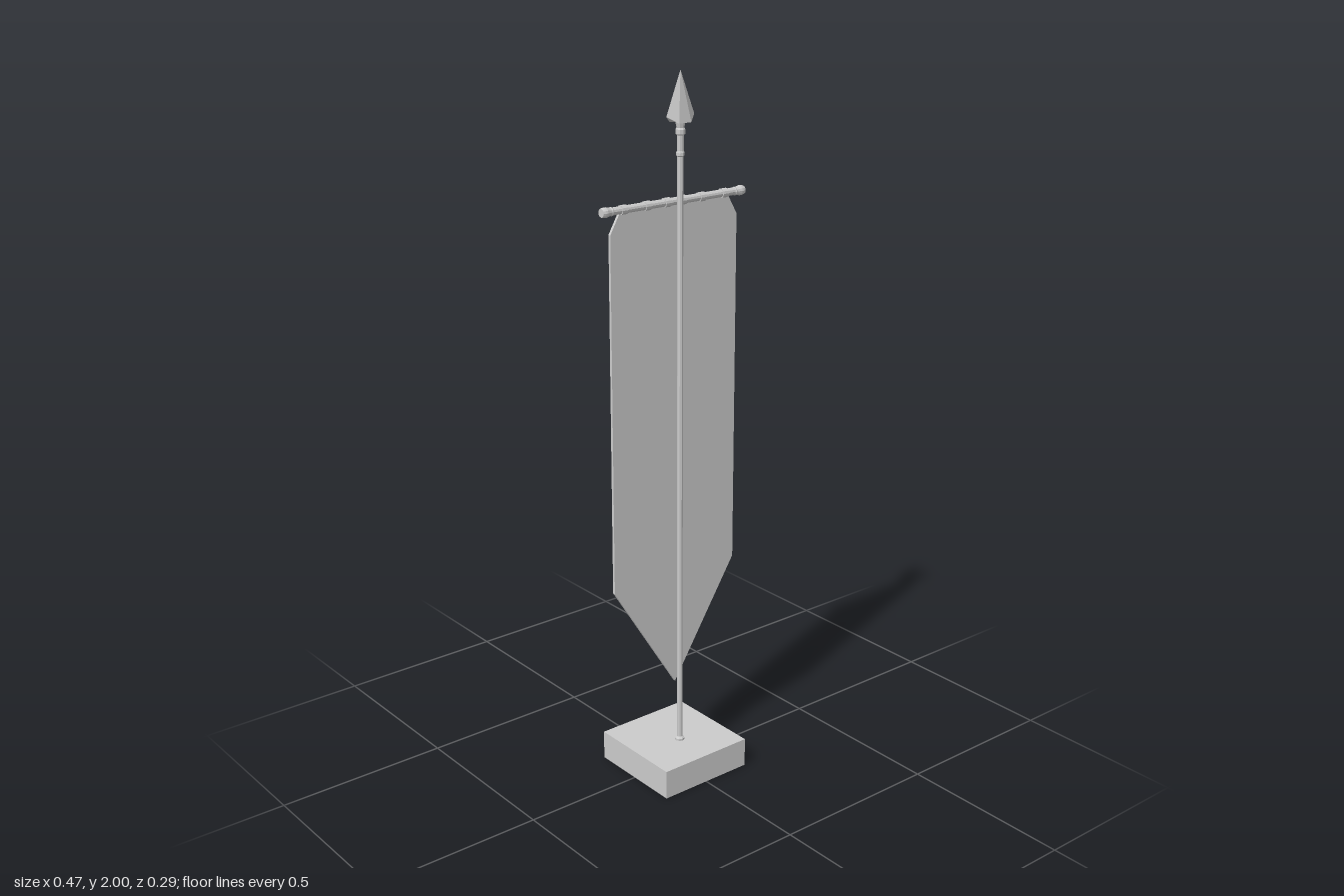
import * as THREE from 'three';

const material = new THREE.MeshStandardMaterial({ color: 0xcccccc, flatShading: true, side: THREE.DoubleSide });

function part(name, geometry, x = 0, y = 0, z = 0) {
  const mesh = new THREE.Mesh(geometry, material);
  mesh.name = name;
  mesh.position.set(x, y, z);
  return mesh;
}

// Revolved profile from [radius, height] pairs
function lathe(points, sides) {
  return new THREE.LatheGeometry(points.map(([r, h]) => new THREE.Vector2(r, h)), sides);
}

// Square plinth, hollow underneath
function plinthGeometry(size, height) {
  const box = new THREE.BoxGeometry(size, height, size).toNonIndexed();
  const p = box.attributes.position.array;
  const kept = [];
  for (let i = 0; i < p.length; i += 9) {
    const bottom = p[i + 1] < 0 && p[i + 4] < 0 && p[i + 7] < 0;
    if (!bottom) kept.push(...p.slice(i, i + 9));
  }
  const geometry = new THREE.BufferGeometry();
  geometry.setAttribute('position', new THREE.Float32BufferAttribute(kept, 3));
  geometry.computeVertexNormals();
  return geometry;
}

// Flattened six-sided point with swept-down ridges
function spearheadGeometry() {
  const ring = [
    [0.046, 1.885, 0], [0.02, 1.868, -0.02], [-0.02, 1.868, -0.02],
    [-0.046, 1.885, 0], [-0.02, 1.868, 0.02], [0.02, 1.868, 0.02],
  ];
  const tip = [0, 2, 0];
  const root = [0, 1.868, 0];
  const v = [];
  ring.forEach((a, i) => {
    const b = ring[(i + 1) % ring.length];
    v.push(...a, ...b, ...tip, ...b, ...a, ...root);
  });
  const geometry = new THREE.BufferGeometry();
  geometry.setAttribute('position', new THREE.Float32BufferAttribute(v, 3));
  geometry.computeVertexNormals();
  return geometry;
}

// Cloth with clipped top corners and a pointed tail
function bannerGeometry() {
  const shape = new THREE.Shape([
    [0, 0.265], [0.212, 0.6], [0.212, 1.6], [0.182, 1.652],
    [-0.182, 1.652], [-0.212, 1.6], [-0.212, 0.6],
  ].map(([x, y]) => new THREE.Vector2(x, y)));
  const depth = 0.008;
  return new THREE.ExtrudeGeometry(shape, { depth, bevelEnabled: false }).translate(0, 0, -depth / 2);
}

export function createModel() {
  const model = new THREE.Group();
  model.name = 'standingBanner';
  const poleZ = 0.025;

  model.add(part('plinth', plinthGeometry(0.292, 0.085), 0, 0.0425, 0));

  // Pole with foot flange
  model.add(part('pole', lathe([
    [0.014, 0.084], [0.014, 0.091], [0.008, 0.096], [0.008, 1.8],
  ], 8), 0, 0, poleZ));

  // Socket joining the spearhead to the pole
  model.add(part('spearSocket', lathe([
    [0.008, 1.78], [0.011, 1.783], [0.011, 1.79], [0.009, 1.795], [0.009, 1.835],
    [0.013, 1.838], [0.013, 1.85], [0.01, 1.854], [0.014, 1.872],
  ], 8), 0, 0, poleZ));
  model.add(part('spearhead', spearheadGeometry(), 0, 0, poleZ));

  model.add(part('banner', bannerGeometry()));

  // Crossbar with turned ends and cloth rings
  const crossbar = new THREE.Group();
  crossbar.name = 'crossbar';
  crossbar.position.y = 1.66;
  crossbar.rotation.z = -Math.PI / 2;
  crossbar.add(part('bar', new THREE.CylinderGeometry(0.0105, 0.0105, 0.43, 12)));
  for (const side of [-1, 1]) {
    const finial = part('barFinial', lathe([
      [0.0105, 0.203], [0.012, 0.206], [0.0105, 0.209], [0.0115, 0.215], [0.014, 0.224],
      [0.0135, 0.23], [0.0115, 0.237], [0, 0.237],
    ], 12));
    if (side < 0) finial.rotation.z = Math.PI;
    crossbar.add(finial);
    for (const x of [0.026, 0.091, 0.168]) {
      crossbar.add(part('clothRing', new THREE.CylinderGeometry(0.013, 0.013, 0.018, 12), 0, side * x, 0));
    }
  }
  model.add(crossbar);

  return model;
}
